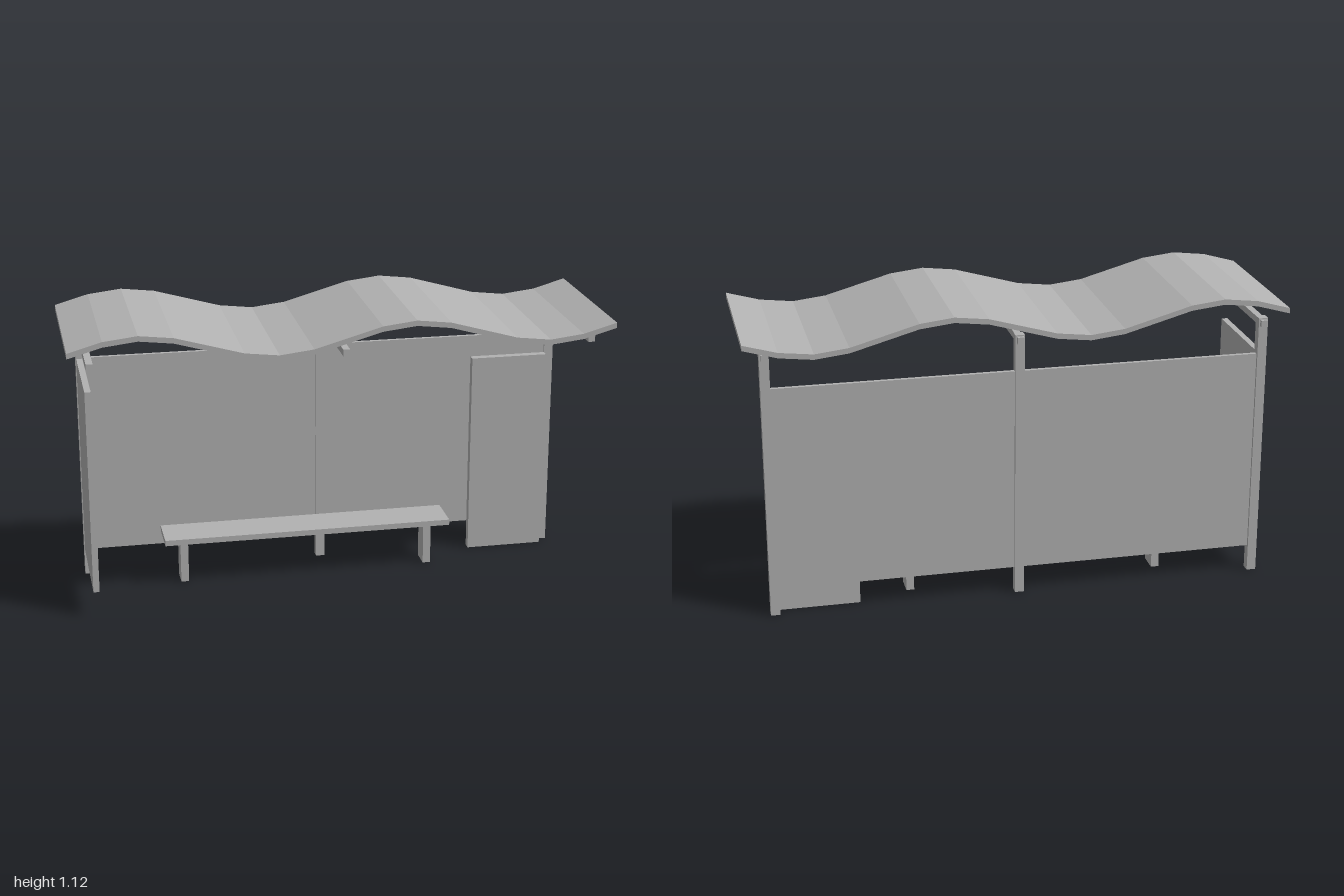
import * as THREE from 'three';

export function createModel() {
  const shelter = new THREE.Group();
  shelter.name = 'busShelter';
  const grey = new THREE.MeshStandardMaterial({ color: 0xb2b2b2 });
  grey.name = 'grey';

  // Box given by its limits on each axis
  const box = (name, [x0, x1], [y0, y1], [z0, z1]) => {
    const mesh = new THREE.Mesh(new THREE.BoxGeometry(x1 - x0, y1 - y0, z1 - z0), grey);
    mesh.name = name;
    mesh.position.set((x0 + x1) / 2, (y0 + y1) / 2, (z0 + z1) / 2);
    shelter.add(mesh);
  };

  // Wavy roof: sine profile of 16 flat steps, extruded in depth
  const steps = 16, depth = 0.64, thickness = 0.02;
  const lower = [], upper = [];
  for (let i = 0; i <= steps; i++) {
    const x = -1 + (2 * i) / steps;
    const y = 1.05 + 0.05 * Math.sin(2 * Math.PI * x);
    lower.push(new THREE.Vector2(x, y));
    upper.unshift(new THREE.Vector2(x, y + thickness));
  }
  const roofGeometry = new THREE.ExtrudeGeometry(new THREE.Shape([...lower, ...upper]), {
    depth, bevelEnabled: false,
  });
  roofGeometry.translate(0, 0, -depth / 2);
  const roof = new THREE.Mesh(roofGeometry, grey);
  roof.name = 'wavyRoof';
  shelter.add(roof);

  // Posts along the back, each carrying a roof beam
  for (const x of [-0.92, 0, 0.92]) {
    box('post', [x - 0.0175, x + 0.0175], [0, 1.02], [-0.265, -0.23]);
    box('roofBeam', [x - 0.0125, x + 0.0125], [0.99, 1.015], [-0.28, 0.28]);
  }

  // Wall panels and the standing display board
  box('backPanel', [-0.91, 0.91], [0.1, 0.88], [-0.255, -0.24]);
  box('sidePanel', [-0.935, -0.912], [0.1, 0.88], [-0.23, 0.18]);
  box('displayBoard', [0.6, 0.9], [0, 0.8], [-0.224, -0.194]);

  // Bench
  box('benchSeat', [-0.64, 0.48], [0.17, 0.192], [-0.2, -0.04]);
  for (const x of [-0.563, 0.4]) {
    box('benchLeg', [x - 0.015, x + 0.015], [0, 0.17], [-0.16, -0.08]);
  }

  return shelter;
}
